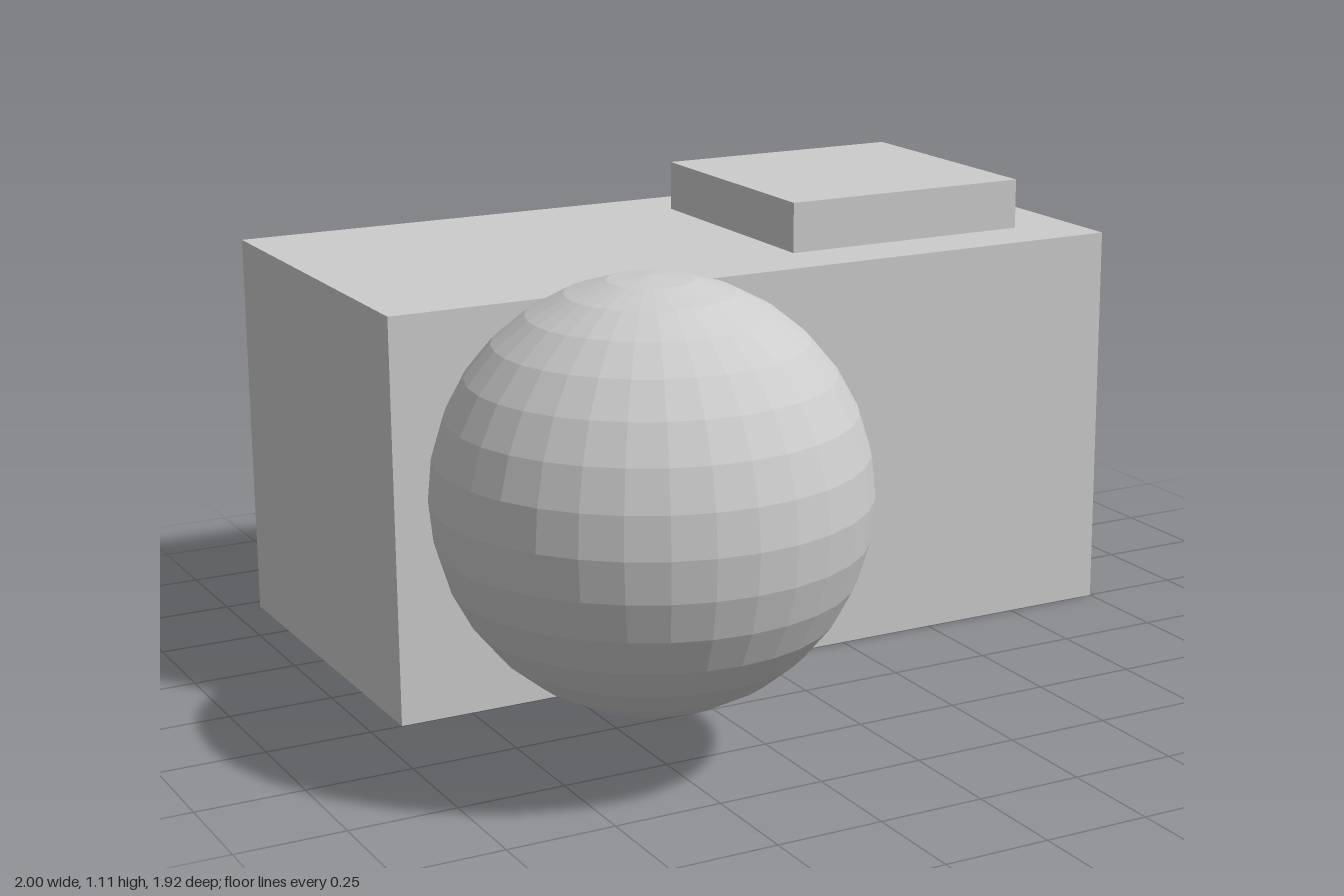
import * as THREE from 'three';

export function createModel() {
  const group = new THREE.Group();
  const grey = new THREE.MeshStandardMaterial({ color: 0xcccccc });
  grey.name = 'light grey';

  const add = (name, geometry, x, y, z) => {
    const mesh = new THREE.Mesh(geometry, grey);
    mesh.name = name;
    mesh.position.set(x, y, z);
    group.add(mesh);
  };

  // Long block with a raised square plate near its left end
  add('block', new THREE.BoxGeometry(1.924, 0.962, 0.962), 0.038, 0.481, -0.481);
  add('raisedPlate', new THREE.BoxGeometry(0.647, 0.124, 0.647), 0.519, 1.024, -0.481);

  // Faceted ball touching the front of the block
  const ball = new THREE.SphereGeometry(0.481, 32, 16).toNonIndexed();
  ball.computeVertexNormals();
  add('ball', ball, -0.519, 0.624, 0.481);

  return group;
}
